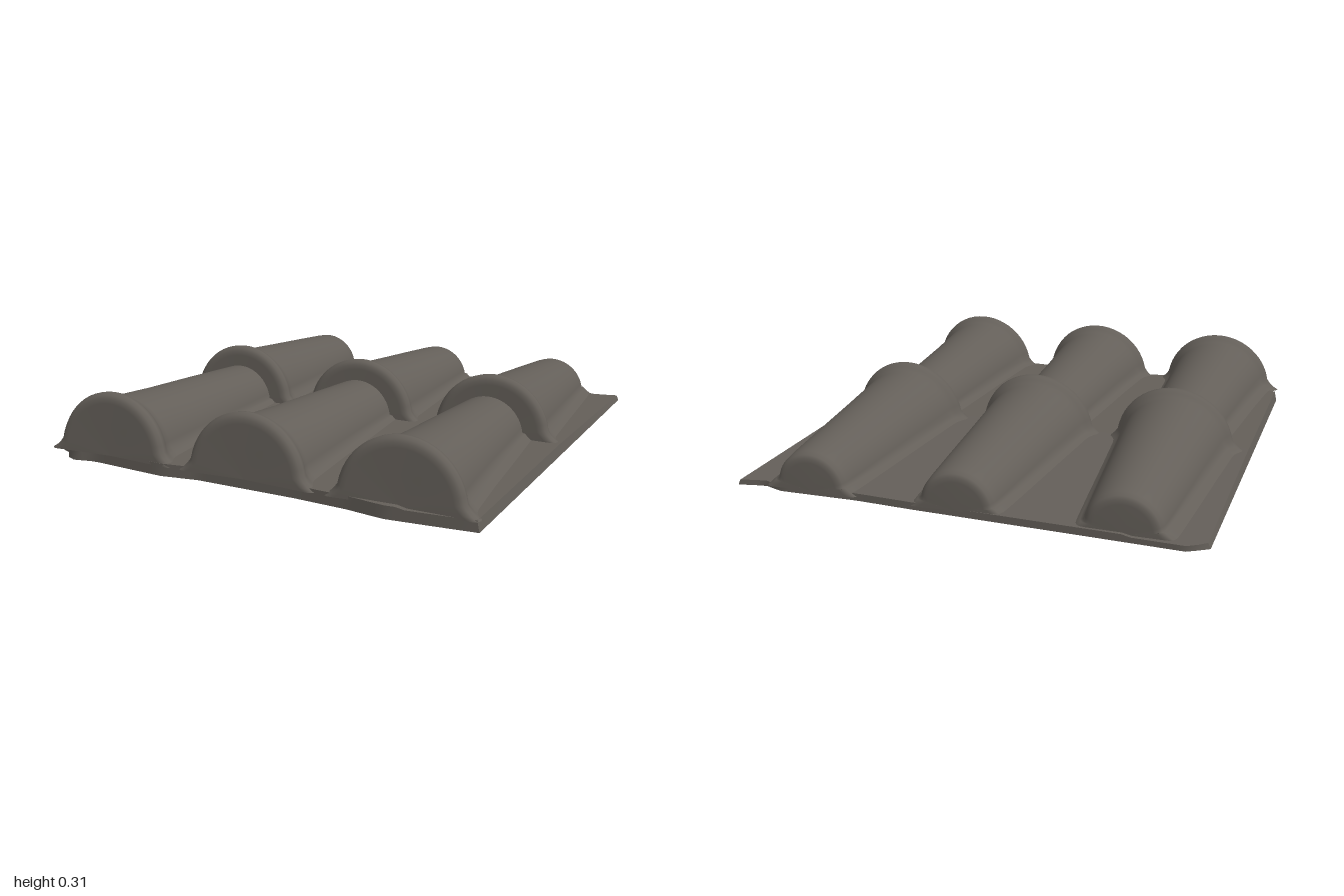
import * as THREE from 'three';

const lerp = THREE.MathUtils.lerp;

// piecewise-linear lookup in a short list of [position, value]
function sample(points, t) {
  for (let i = 1; i < points.length; i++) {
    const [a, va] = points[i - 1], [b, vb] = points[i];
    if (t <= b) return lerp(va, vb, Math.max(0, (t - a) / (b - a)));
  }
  return points[points.length - 1][1];
}

// worn front and back edges of the slab, as z along x
const FRONT = [[-1, 0.88], [-0.95, 0.9], [-0.9, 0.97], [-0.78, 0.945], [-0.42, 0.97], [-0.25, 0.945],
  [0.2, 0.95], [0.45, 0.965], [0.62, 0.99], [0.82, 0.975], [1, 0.96]];
const BACK = [[-1, -0.95], [-0.92, -1], [-0.5, -0.99], [0.2, -0.975], [0.45, -0.965], [0.8, -0.975],
  [0.88, -0.945], [1, -0.97]];

// height of the slab's upper face, thinner towards the back
const slabTop = z => (z > 0 ? 0.045 : 0.045 + 0.023 * z);

function makeSlab() {
  const geo = new THREE.BoxGeometry(2, 1, 2, 48, 1, 16);
  const p = geo.attributes.position;
  for (let i = 0; i < p.count; i++) {
    const u = p.getX(i), v = (p.getZ(i) + 1) / 2, top = p.getY(i) > 0;
    const z = lerp(sample(BACK, u), sample(FRONT, u), v);
    const x = u < 0 ? -u * lerp(-0.97, -0.98, v) : u * lerp(0.98, 0.945, v);
    // pans between the barrels stand slightly higher than the outer margins
    const pan = Math.abs(u) < 0.7 ? 0.008 : 0;
    const inset = top && Math.abs(u) === 1 ? 0.99 : 1;
    p.setXYZ(i, x * inset, top ? slabTop(z) + pan : 0, z);
  }
  geo.computeVertexNormals();
  return geo;
}

// cross-section of a barrel: flared foot, half round, flared foot
function section(r) {
  const pts = [[r + 0.05, -0.006], [r + 0.028, 0.008], [r + 0.011, 0.024]];
  const n = 24, start = 0.17;
  for (let i = 0; i <= n; i++) {
    const a = lerp(start, Math.PI - start, i / n);
    pts.push([r * Math.cos(a), r * Math.sin(a)]);
  }
  for (let i = 2; i >= 0; i--) pts.push([-pts[i][0], pts[i][1]]);
  return pts;
}

// rows run front to back: [z, radius, lean, cap scale]
function makeBarrel(rows, centreAt) {
  const pos = [], idx = [];
  let width = 0;
  for (const [z, r, lean, scale = 1] of rows) {
    const pts = section(r);
    width = pts.length;
    for (const [x, y] of pts) {
      const h = y * scale + slabTop(z);
      pos.push(centreAt(z) + x * scale, h, z - lean * h);
    }
  }
  for (let j = 0; j < rows.length - 1; j++) {
    for (let i = 0; i < width - 1; i++) {
      const a = j * width + i, b = a + 1, c = a + width, d = c + 1;
      idx.push(a, c, b, b, c, d);
    }
  }
  const geo = new THREE.BufferGeometry();
  geo.setAttribute('position', new THREE.Float32BufferAttribute(pos, 3));
  geo.setIndex(idx);
  geo.computeVertexNormals();
  return geo;
}

// flat front cap, then the rounded rim
const rim = (z, lean) => [
  [z - 0.005, 0.235, lean, 0.001], [z - 0.003, 0.235, lean, 0.5], [z, 0.235, lean, 0.93], [z, 0.238, lean],
  [z - 0.008, 0.252, lean], [z - 0.022, 0.261, lean], [z - 0.038, 0.259, lean],
  [z - 0.058, 0.247, lean * 0.8], [z - 0.085, 0.235, lean * 0.5], [z - 0.12, 0.229, 0]];

const FRONT_ROWS = [...rim(0.972, 0.09), [0.6, 0.208, 0], [0.3, 0.189, 0], [-0.04, 0.166, 0]];
const REAR_ROWS = [...rim(0.0, 0.08), [-0.4, 0.205, 0], [-0.7, 0.181, 0], [-0.9, 0.164, 0],
  [-0.95, 0.158, 0], [-0.97, 0.148, 0], [-0.977, 0.135, 0], [-0.979, 0.13, 0, 0.9], [-0.98, 0.13, 0, 0.001]];

export function createModel() {
  const model = new THREE.Group();
  model.name = 'roofTiles';
  const clay = new THREE.MeshStandardMaterial({ color: 0x645f59 });
  clay.name = 'greyBrownClay';

  const add = (geo, name) => {
    const mesh = new THREE.Mesh(geo, clay);
    mesh.name = name;
    model.add(mesh);
  };

  add(makeSlab(), 'baseSlab');

  // three columns of two overlapping barrels, each drifting slightly sideways
  const columns = [
    { name: 'right', front: [-0.645, -0.665], rear: [-0.65, -0.64] },
    { name: 'middle', front: [-0.01, -0.02], rear: [0.01, -0.005] },
    { name: 'left', front: [0.62, 0.635], rear: [0.64, 0.635] },
  ];
  for (const { name, front, rear } of columns) {
    add(makeBarrel(FRONT_ROWS, z => lerp(front[0], front[1], z)), name + 'FrontBarrel');
    add(makeBarrel(REAR_ROWS, z => lerp(rear[0], rear[1], z + 1)), name + 'RearBarrel');
  }
  return model;
}
